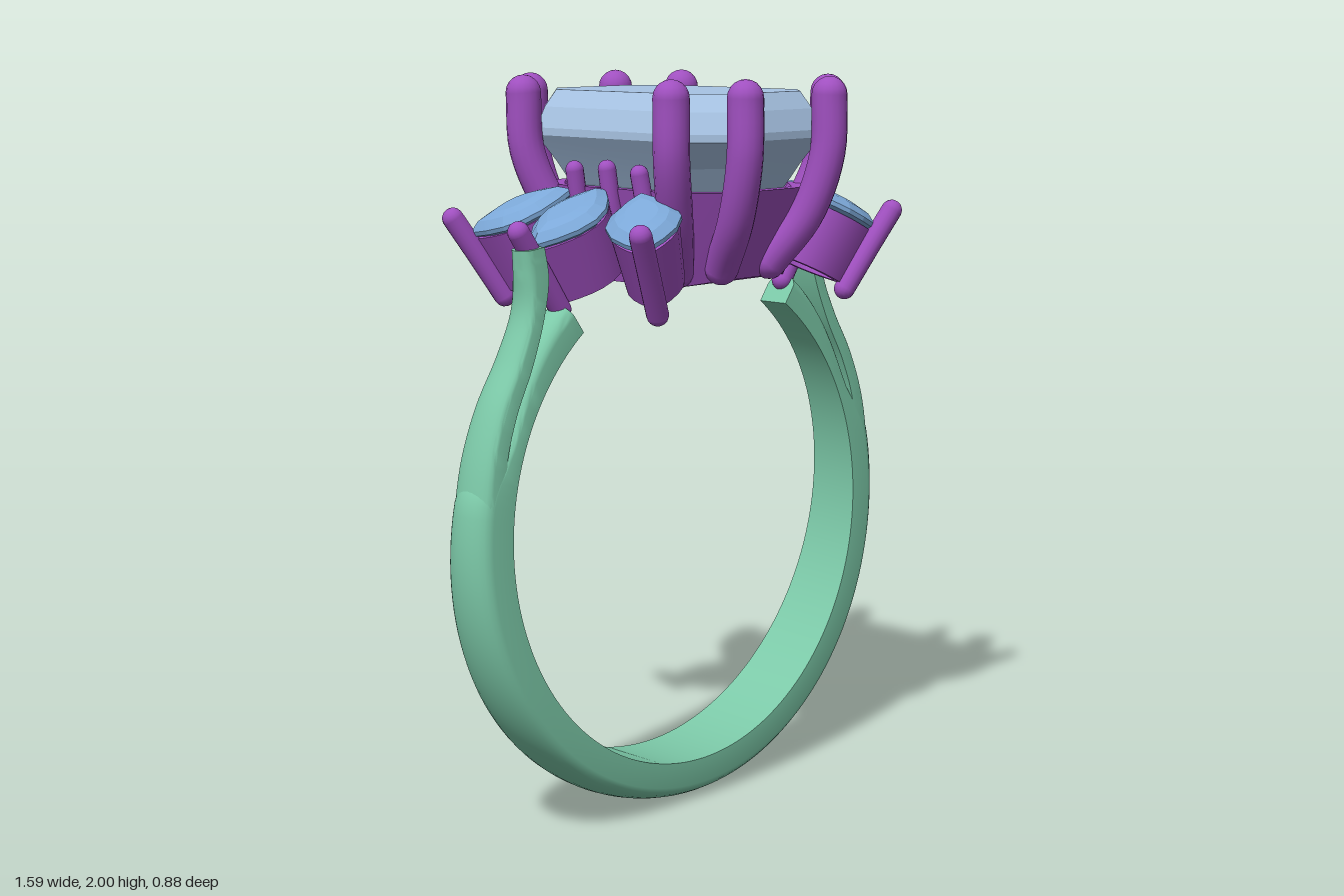
import * as THREE from 'three';
import { toCreasedNormals } from 'three/addons/utils/BufferGeometryUtils.js';

const V = (x, y, z) => new THREE.Vector3(x, y, z);
const mat = (color) => new THREE.MeshStandardMaterial({ color });
const bandMat = mat(0x7cc9a8), settingMat = mat(0xa050c0);
const stoneMat = mat(0xa8c4e4), sideStoneMat = mat(0x7ca8d8);
const CY = 0.8, R = 0.68; // centre height and inner radius of the band

function mesh(name, geometry, material) {
  const m = new THREE.Mesh(geometry, material);
  m.name = name;
  return m;
}

// Skin a list of equal-length closed rings, cap both ends, and turn faces outward
function loft(rings, crease) {
  const n = rings[0].length, tris = [];
  for (let i = 0; i < rings.length - 1; i++) {
    for (let j = 0; j < n; j++) {
      const a = rings[i][j], b = rings[i][(j + 1) % n];
      const c = rings[i + 1][(j + 1) % n], d = rings[i + 1][j];
      tris.push([a, b, c], [a, c, d]);
    }
  }
  const last = rings[rings.length - 1];
  for (let j = 1; j < n - 1; j++) {
    tris.push([rings[0][0], rings[0][j + 1], rings[0][j]], [last[0], last[j], last[j + 1]]);
  }
  let volume = 0;
  for (const [a, b, c] of tris) volume += a.dot(b.clone().cross(c));
  if (volume < 0) tris.forEach((t) => t.reverse());
  const g = new THREE.BufferGeometry().setFromPoints(tris.flat());
  return toCreasedNormals(g, crease);
}

// D-shaped band section: flat inside at (x, y), domed along the outward normal
function bandSection(x, y, nx, ny, t) {
  const w = 0.115 - 0.05 * y;
  const pts = [V(x, y, w)];
  for (let i = 0; i <= 12; i++) {
    const a = (Math.PI * i) / 12, d = t * (0.6 + 0.4 * Math.sin(a));
    pts.push(V(x + nx * d, y + ny * d, w * Math.cos(a)));
  }
  pts.push(V(x, y, -w));
  return pts;
}

// Rectangle with cut corners at height y (a number or a function of x)
function cutRect(hx, hz, c, y) {
  const q = [[hx, hz - c], [hx - c, hz], [c - hx, hz], [-hx, hz - c],
    [-hx, c - hz], [c - hx, -hz], [hx - c, -hz], [hx, c - hz]];
  return q.map(([x, z]) => V(x, typeof y === 'number' ? y : y(x), z));
}

// Pointed oval ring
function marquise(L, W, y, n = 24) {
  return Array.from({ length: n }, (_, i) => {
    const a = (i / n) * Math.PI * 2, c = Math.cos(a);
    return V(L * c, y, W * Math.sign(Math.sin(a)) * (1 - c * c));
  });
}

// Round wire with domed ends
function prong(name, points, r) {
  const g = new THREE.Group();
  g.name = name;
  const path = new THREE.CatmullRomCurve3(points);
  g.add(mesh('prongWire', new THREE.TubeGeometry(path, 16, r, 16), settingMat));
  for (const p of [points[0], points[points.length - 1]]) {
    const tip = mesh('prongTip', new THREE.SphereGeometry(r, 16, 10), settingMat);
    tip.position.copy(p);
    g.add(tip);
  }
  return g;
}

// Side stone in its cup; the local x axis runs outward, y is the stone's normal
function sideSetting(name, center, axis, normal) {
  const g = new THREE.Group();
  g.name = name;
  const L = 0.145, W = 0.098;
  g.add(mesh('sideStone', loft([
    marquise(L * 0.25, W * 0.25, -0.06, 16), marquise(L, W, -0.006, 16),
    marquise(L, W, 0.006, 16), marquise(L * 0.8, W * 0.72, 0.026, 16),
    marquise(L * 0.5, W * 0.45, 0.035, 16)], 0.15), sideStoneMat));
  // Hollow tapered cup wall
  const cup = [[0.98, 0.92, -0.015], [0.88, 0.78, -0.18], [0.7, 0.55, -0.18], [0.8, 0.7, -0.015], [0.98, 0.92, -0.015]]
    .map(([a, b, y]) => marquise(L * a, W * b, y));
  const wall = loft(cup, 0.6);
  g.add(mesh('stoneCup', wall, settingMat));
  g.add(prong('outerClaw', [V(0.172, 0.06, 0), V(0.155, -0.05, 0), V(0.135, -0.19, 0)], 0.029));
  g.add(prong('innerClaw', [V(-0.175, 0.05, 0), V(-0.15, -0.04, 0), V(-0.13, -0.16, 0)], 0.024));
  const n = normal.clone().normalize();
  const a = axis.clone().addScaledVector(n, -axis.dot(n)).normalize();
  g.applyMatrix4(new THREE.Matrix4().makeBasis(a, n, a.clone().cross(n)).setPosition(center));
  return g;
}

export function createModel() {
  const model = new THREE.Group();
  model.name = 'ring';

  // Band, open at the top, thinner where it splits
  const bandRings = [], end = THREE.MathUtils.degToRad(54);
  for (let i = 0; i <= 120; i++) {
    const a = end - (i / 120) * (Math.PI + 2 * end);
    const c = Math.cos(a), s = Math.sin(a), y = CY + R * s;
    const split = THREE.MathUtils.smoothstep(y, 0.92, 1.08);
    const t = THREE.MathUtils.lerp(0.115, 0.055 + 0.035 * THREE.MathUtils.smoothstep(y, 1.08, 1.36), split);
    bandRings.push(bandSection(R * c, y, c, s, t));
  }
  model.add(mesh('band', loft(bandRings, 0.7), bandMat));

  // Outer shoulder arms; z of each path point is the arm thickness
  const armPath = new THREE.CatmullRomCurve3([
    V(0.685, 0.86, 0.105), V(0.69, 1.03, 0.065), V(0.648, 1.16, 0.06),
    V(0.585, 1.28, 0.055), V(0.537, 1.4, 0.052), V(0.515, 1.5, 0.07), V(0.525, 1.58, 0.065)]);
  for (const side of [1, -1]) {
    const rings = [];
    for (let i = 0; i <= 36; i++) {
      const p = armPath.getPoint(i / 36), d = armPath.getTangent(i / 36);
      const len = Math.hypot(d.x, d.y);
      rings.push(bandSection(side * p.x, p.y, (side * d.y) / len, -d.x / len, p.z));
    }
    model.add(mesh(side > 0 ? 'leftShoulder' : 'rightShoulder', loft(rings, 0.7), bandMat));
  }

  // Centre basket: a flared cup whose foot follows the finger hole
  const foot = (x) => CY + Math.sqrt(R * R - x * x);
  model.add(mesh('centerBasket', loft([
    cutRect(0.13, 0.2, 0.06, 1.53), cutRect(0.215, 0.3, 0.09, 1.71),
    cutRect(0.25, 0.335, 0.1, 1.71), cutRect(0.18, 0.245, 0.08, foot)], 0.1), settingMat));

  // Step-cut centre stone
  model.add(mesh('centerStone', loft([
    cutRect(0.08, 0.16, 0.03, 1.56), cutRect(0.19, 0.28, 0.07, 1.71),
    cutRect(0.225, 0.315, 0.085, 1.77), cutRect(0.27, 0.36, 0.1, 1.84),
    cutRect(0.27, 0.36, 0.1, 1.86), cutRect(0.25, 0.34, 0.092, 1.915),
    cutRect(0.222, 0.312, 0.08, 1.96)], 0.05), stoneMat));

  for (const sx of [1, -1]) {
    for (const sz of [1, -1]) {
      // Paired corner prongs
      const path = (pts) => pts.map(([x, y, z]) => V(sx * x, y, sz * z));
      model.add(prong('endProng', path([[0.165, 1.953, 0.393], [0.163, 1.8, 0.39],
        [0.14, 1.64, 0.34], [0.095, 1.51, 0.25]]), 0.047));
      model.add(prong('sideProng', path([[0.307, 1.953, 0.27], [0.3, 1.8, 0.265],
        [0.245, 1.64, 0.225], [0.175, 1.5, 0.165]]), 0.047));
      // Fanned side stones
      model.add(sideSetting('fanSetting', V(sx * 0.36, 1.64, sz * 0.225),
        V(sx * 0.75, 0, sz * 0.65), V(sx * 0.4, 0.9, sz * 0.15)));
    }
    // Middle side stone on the band's axis
    model.add(sideSetting('middleSetting', V(sx * 0.4, 1.64, 0), V(sx, 0, 0), V(sx * 0.44, 0.9, 0)));
  }
  return model;
}
